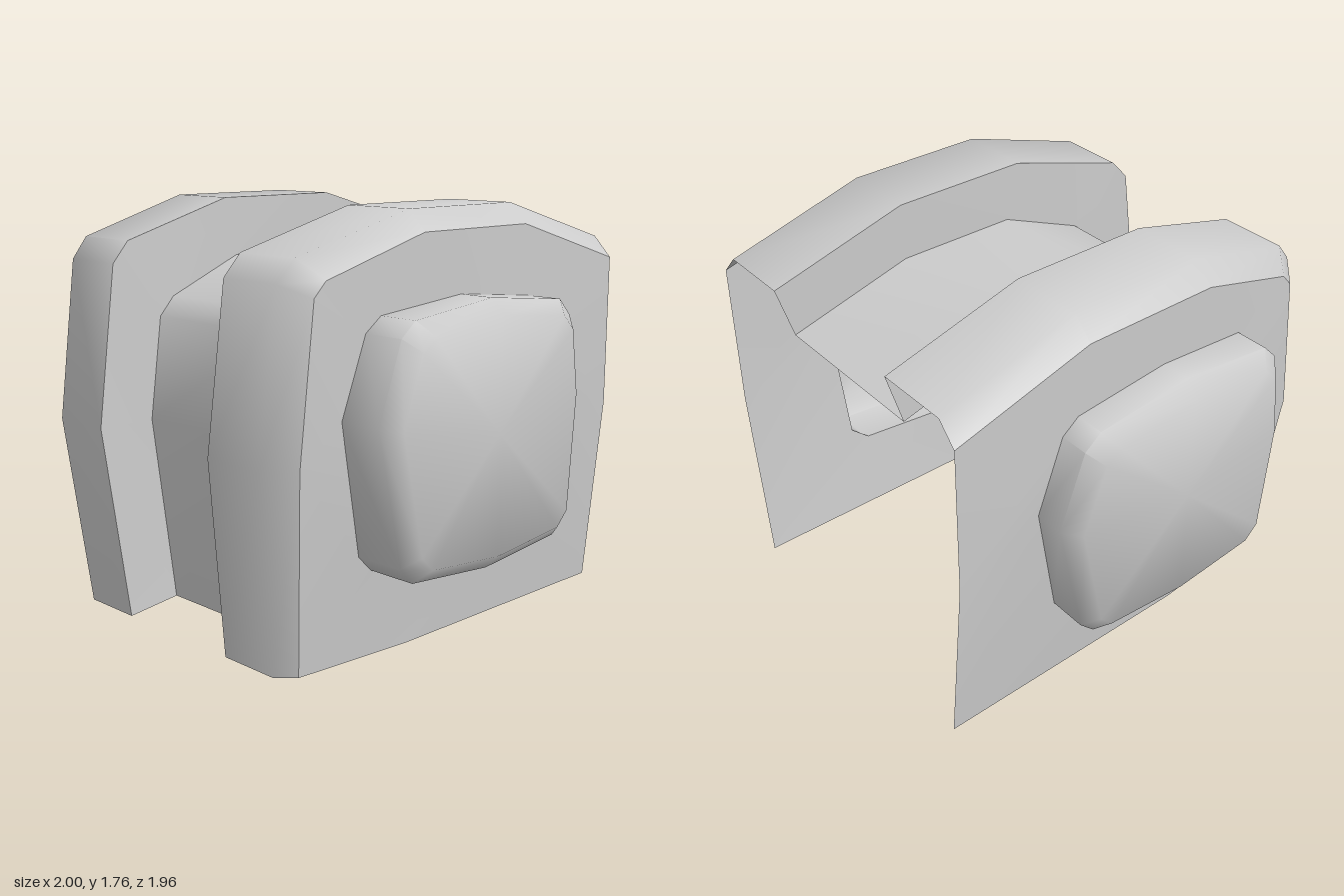
import * as THREE from 'three';
import { toCreasedNormals } from 'three/addons/utils/BufferGeometryUtils.js';

const CX = -0.015; // the shell sits slightly off the pads' centre line
const clamp = THREE.MathUtils.clamp;
const material = new THREE.MeshStandardMaterial({ color: 0xcccccc, side: THREE.DoubleSide });

// Stations from the front foot, over the top, to the back edge: [z, y]
const crest = [[0.88, 0], [0.98, 0.84], [0.89, 1.52], [0.81, 1.61], [0.26, 1.765], [-0.36, 1.765], [-0.98, 1.59]];
const inset = [[0.81, 0], [0.87, 0.84], [0.80, 1.47], [0.745, 1.53], [0.26, 1.68], [-0.36, 1.68], [-0.98, 1.50]];
const valley = [[0.635, 0.03], [0.717, 0.84], [0.655, 1.28], [0.58, 1.36], [0.2, 1.51], [-0.35, 1.51], [-0.91, 1.355]];
// Half widths at each station
const innerHalf = [0.315, 0.35, 0.353, 0.357, 0.383, 0.383, 0.383];
const outerHalf = [0.60, 0.64, 0.645, 0.66, 0.71, 0.71, 0.71];
// Pad outline, starting at its pointed end: [z, y]
const padOutline = [[0.67, 1.0], [0.555, 1.32], [0.48, 1.38], [0.04, 1.425], [-0.40, 1.38], [-0.47, 1.31],
  [-0.515, 1.0], [-0.47, 0.44], [-0.40, 0.37], [0.04, 0.33], [0.48, 0.37], [0.55, 0.44]];

// The side panel tapers inward toward the front and the foot
const panelHalf = (z, y) => 0.795 - 0.08 * clamp((0.84 - y) / 0.84, 0, 1) - 0.05 * clamp((z - 0.25) / 0.6, 0, 1);
const onPanel = (s) => ([z, y]) => [CX + s * panelHalf(z, y), y, z];

// Skin a list of equally long cross-sections
function skin(name, rows, { closed = false, flip = false, cap = false } = {}) {
  const pos = [], index = [], n = rows[0].length;
  rows.forEach((row) => row.forEach((p) => pos.push(...p)));
  const tri = (a, b, c) => index.push(...(flip ? [a, c, b] : [a, b, c]));
  for (let r = 0; r < rows.length - 1; r++) {
    for (let i = 0; i < (closed ? n : n - 1); i++) {
      const a = r * n + i, b = r * n + (i + 1) % n;
      tri(a, b, a + n);
      tri(b, b + n, a + n);
    }
  }
  if (cap) {
    const last = rows[rows.length - 1], start = (rows.length - 1) * n;
    pos.push(...[0, 1, 2].map((k) => last.reduce((sum, p) => sum + p[k], 0) / n));
    for (let i = 0; i < n; i++) tri(start + i, start + (i + 1) % n, rows.length * n);
  }
  const geometry = new THREE.BufferGeometry();
  geometry.setAttribute('position', new THREE.Float32BufferAttribute(pos, 3));
  geometry.setIndex(index);
  const mesh = new THREE.Mesh(toCreasedNormals(geometry, 0.95), material);
  mesh.name = name;
  return mesh;
}

export function createModel() {
  const group = new THREE.Group();
  group.name = 'shell';

  // Recessed band between the two walls
  const bandEdge = (s) => valley.map(([z, y], i) => [CX + s * innerHalf[i], y, z]);
  group.add(skin('centreBand', [bandEdge(1), bandEdge(-1)]));

  for (const s of [1, -1]) {
    const side = new THREE.Group();
    side.name = s > 0 ? 'leftSide' : 'rightSide';
    const flip = s < 0;

    // Opening shared by panel and pad; the right pad is turned end for end
    const outline = s > 0 ? padOutline
      : padOutline.map((_, i) => padOutline[(18 - i) % 12]).map(([z, y]) => [0.07 - z, y]);
    const opening = outline.map(onPanel(s));

    // Raised rim, from the band over the crest and bevel, then the pierced panel
    const rimRows = [
      inset.map(onPanel(s)),
      crest.map(([z, y], i) => [CX + s * outerHalf[i], y, z]),
      crest.map(([z, y], i) => [CX + s * innerHalf[i], y, z]),
      bandEdge(s),
    ];
    side.add(skin('rim', rimRows, { flip }));
    const border = [...inset.slice(1), [-0.98, 0.84], [-0.98, 0], [-0.4, 0], [0.04, 0], [0.25, 0], inset[0]];
    // Drop the point that coincides with the opening's twelve-step spacing
    border.splice(8, 1);
    const panelRows = [border.map(onPanel(s)), opening];
    side.add(skin('sidePanel', panelRows, { closed: true, flip: !flip ? false : true }));

    // Hollow bevelled pad
    const [zc, yc] = [s > 0 ? 0.077 : -0.007, 0.877];
    const padRows = [
      opening,
      outline.map(([z, y]) => [s * 0.935, y, z]),
      outline.map(([z, y]) => [s, yc + (y - yc) * 0.885, zc + (z - zc) * 0.89]),
    ];
    side.add(skin('pad', padRows, { closed: true, cap: true, flip }));
    group.add(side);
  }
  return group;
}
